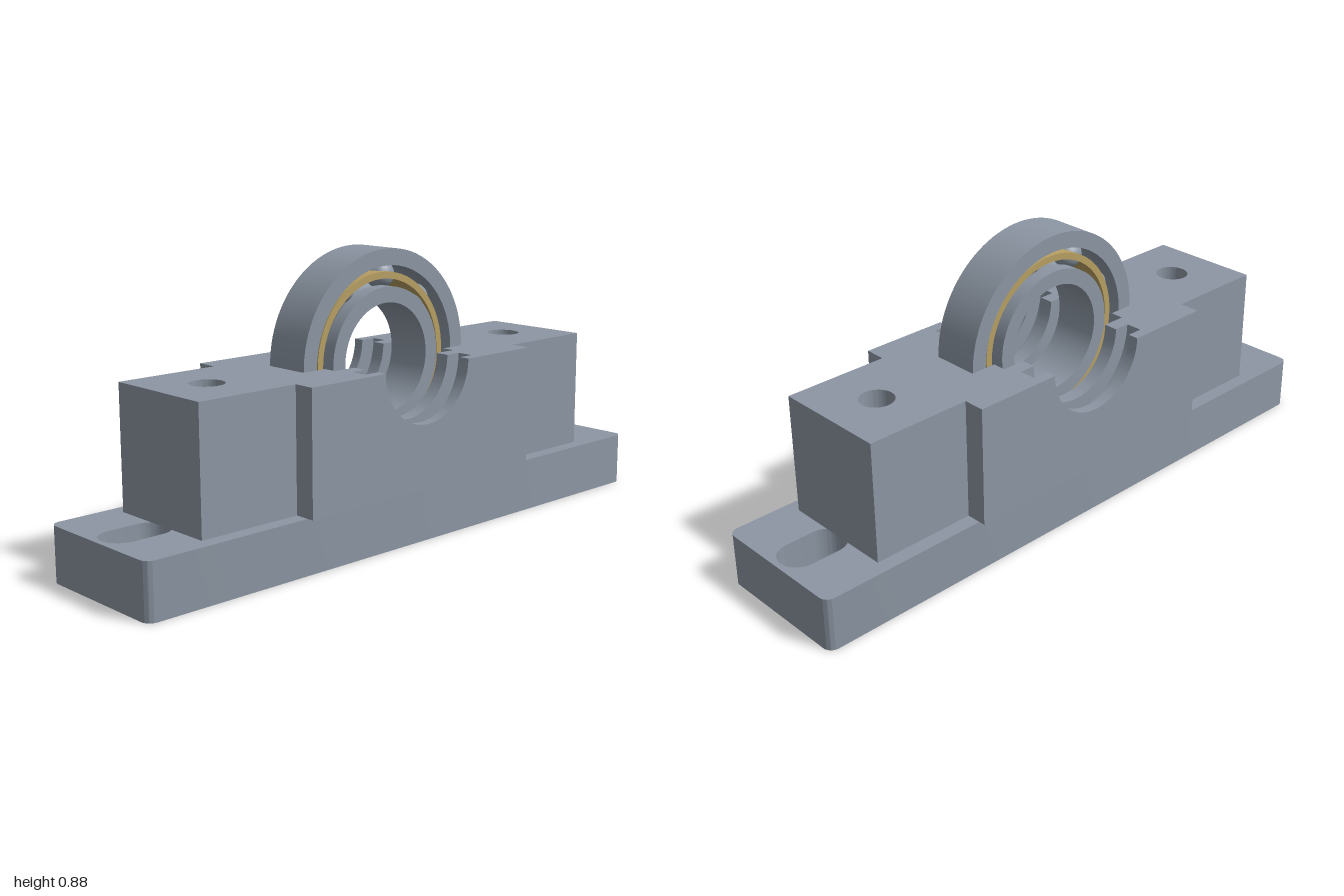
import * as THREE from 'three';
import { toCreasedNormals } from 'three/addons/utils/BufferGeometryUtils.js';

const AXIS_Y = 0.543, BASE_TOP = 0.167;

export function createModel() {
  const model = new THREE.Group();
  model.name = 'pillowBlockBearing';
  const steel = new THREE.MeshStandardMaterial({ name: 'steel grey', color: 0x8c96a3 });
  const brass = new THREE.MeshStandardMaterial({ name: 'cage brass', color: 0xb8a063 });

  const add = (name, geo, mat, parent = model) => {
    const mesh = new THREE.Mesh(geo, mat);
    mesh.name = name;
    parent.add(mesh);
    return mesh;
  };
  const extrude = (shape, depth) => toCreasedNormals(
    new THREE.ExtrudeGeometry(shape, { depth, bevelEnabled: false, curveSegments: 32 }), 0.5);
  // plan shape extruded upward from height y
  const extrudeUp = (shape, y, height) =>
    extrude(shape, height).rotateX(-Math.PI / 2).translate(0, y, 0);

  // Base plate with rounded corners and two mounting slots
  const X = 1, Z = 0.229, R = 0.03;
  const plate = new THREE.Shape();
  plate.moveTo(-X + R, -Z);
  plate.absarc(X - R, -Z + R, R, -Math.PI / 2, 0);
  plate.absarc(X - R, Z - R, R, 0, Math.PI / 2);
  plate.absarc(-X + R, Z - R, R, Math.PI / 2, Math.PI);
  plate.absarc(-X + R, -Z + R, R, Math.PI, Math.PI * 1.5);
  for (const s of [-1, 1]) {
    const slot = new THREE.Path(), r = 0.062, mid = s * 0.875, half = 0.046;
    slot.absarc(mid + half, 0, r, -Math.PI / 2, Math.PI / 2);
    slot.absarc(mid - half, 0, r, Math.PI / 2, Math.PI * 1.5);
    slot.closePath();
    plate.holes.push(slot);
  }
  add('basePlate', extrudeUp(plate, 0, BASE_TOP), steel);

  // Side shoulders with bolt holes
  for (const s of [-1, 1]) {
    const a = s * 0.457, b = s * 0.79, w = 0.183;
    const plan = new THREE.Shape([[a, -w], [b, -w], [b, w], [a, w]].map(p => new THREE.Vector2(...p)));
    const hole = new THREE.Path();
    hole.absarc(s * 0.623, 0, 0.052, 0, Math.PI * 2);
    plan.holes.push(hole);
    add(s > 0 ? 'leftShoulder' : 'rightShoulder', extrudeUp(plan, BASE_TOP, AXIS_Y - BASE_TOP), steel);
  }

  // Housing: slices along the bore, each with its own half-round radius
  const housing = new THREE.Group();
  housing.name = 'housing';
  model.add(housing);
  const slice = (name, z0, z1, r) => {
    const s = new THREE.Shape();
    s.moveTo(-0.457, BASE_TOP);
    s.lineTo(0.457, BASE_TOP);
    s.lineTo(0.457, AXIS_Y);
    s.lineTo(r, AXIS_Y);
    s.absarc(0, AXIS_Y, r, 0, -Math.PI, true);
    s.lineTo(-0.457, AXIS_Y);
    s.closePath();
    add(name, extrude(s, z1 - z0).translate(0, 0, z0), steel, housing);
  };
  slice('bearingSeat', -0.075, 0.075, 0.334);
  const steps = [['recess', 0.075, 0.118, 0.25], ['innerLip', 0.118, 0.163, 0.175],
    ['sealGroove', 0.163, 0.216, 0.226], ['outerLip', 0.216, 0.25, 0.175]];
  for (const [name, z0, z1, r] of steps) {
    slice(name + 'Front', z0, z1, r);
    slice(name + 'Back', -z1, -z0, r);
  }

  // Bearing: grooved rings, cage and balls turned about the z axis
  const bearing = new THREE.Group();
  bearing.name = 'bearing';
  bearing.position.y = AXIS_Y;
  model.add(bearing);
  const W = 0.075, PITCH = 0.25, BALL = 0.045, GAP = 0.032;
  const ring = (name, pts, mat) => {
    const profile = [...pts, pts[0]].map(([r, z]) => new THREE.Vector2(r, z));
    const geo = new THREE.LatheGeometry(profile, 96).rotateX(Math.PI / 2);
    add(name, toCreasedNormals(geo, 0.5), mat, bearing);
  };
  // ball groove, swept along +z for the inner ring (side -1) and -z for the outer (side 1)
  const groove = side => {
    const end = Math.acos(GAP / BALL), pts = [];
    for (let i = 0; i <= 10; i++) {
      const t = side * end * (1 - i / 5);
      pts.push([PITCH + side * BALL * Math.cos(t), BALL * Math.sin(t)]);
    }
    return pts;
  };
  ring('outerRing', [[0.333, -W], [0.333, W], [PITCH + GAP, W], ...groove(1), [PITCH + GAP, -W]], steel);
  ring('innerRing', [[0.17, W], [0.17, -W], [PITCH - GAP, -W], ...groove(-1), [PITCH - GAP, W]], steel);
  ring('cage', [[0.261, -0.055], [0.261, 0.055], [0.24, 0.055], [0.24, -0.055]], brass);
  const ballGeo = new THREE.SphereGeometry(BALL - 0.0005, 24, 16);
  for (let i = 0; i < 9; i++) {
    const a = i * Math.PI * 2 / 9;
    add('ball', ballGeo, steel, bearing).position.set(PITCH * Math.cos(a), PITCH * Math.sin(a), 0);
  }
  return model;
}
